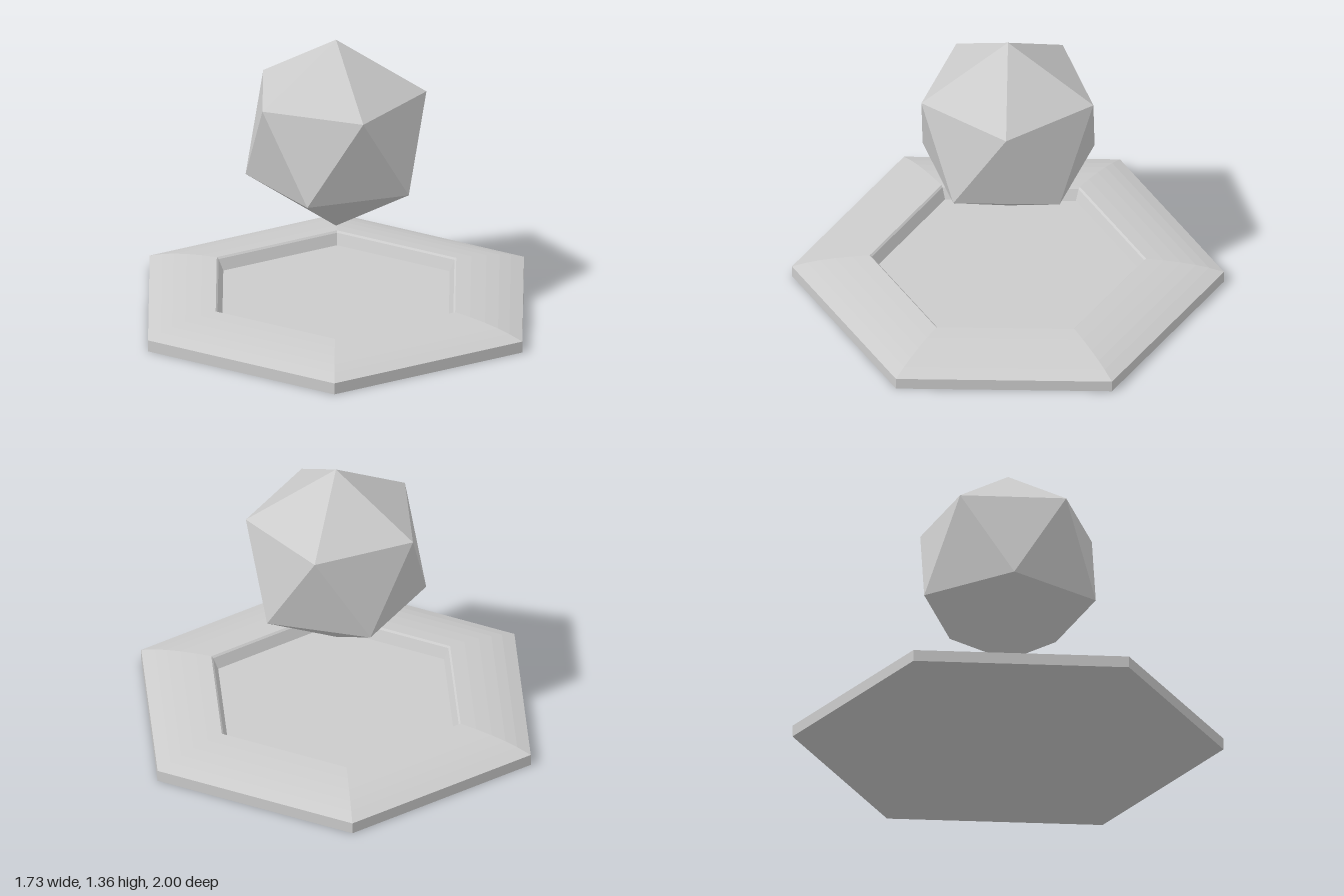
import * as THREE from 'three';

export function createModel() {
  const model = new THREE.Group();
  const material = new THREE.MeshStandardMaterial({ color: 0xcccccc, flatShading: true });

  // Six-sided base: short upright edge, domed border, sloping recess wall and flat floor
  const profile = [
    [0, 0], [1, 0], [1, 0.055], [0.93, 0.078], [0.87, 0.093], [0.8, 0.106],
    [0.72, 0.117], [0.64, 0.125], [0.63, 0.117], [0.605, 0.065], [0, 0.065],
  ].map(([r, y]) => new THREE.Vector2(r, y));
  const base = new THREE.Mesh(new THREE.LatheGeometry(profile, 6), material);
  base.name = 'hexagonalBase';
  model.add(base);

  // Floating icosahedron, turned to stand on one of its corners
  const gemGeometry = new THREE.IcosahedronGeometry(0.468, 0);
  gemGeometry.rotateZ(-Math.atan(2 / (1 + Math.sqrt(5))));
  const gem = new THREE.Mesh(gemGeometry, material);
  gem.name = 'floatingIcosahedron';
  gem.position.y = 0.89;
  model.add(gem);

  return model;
}
